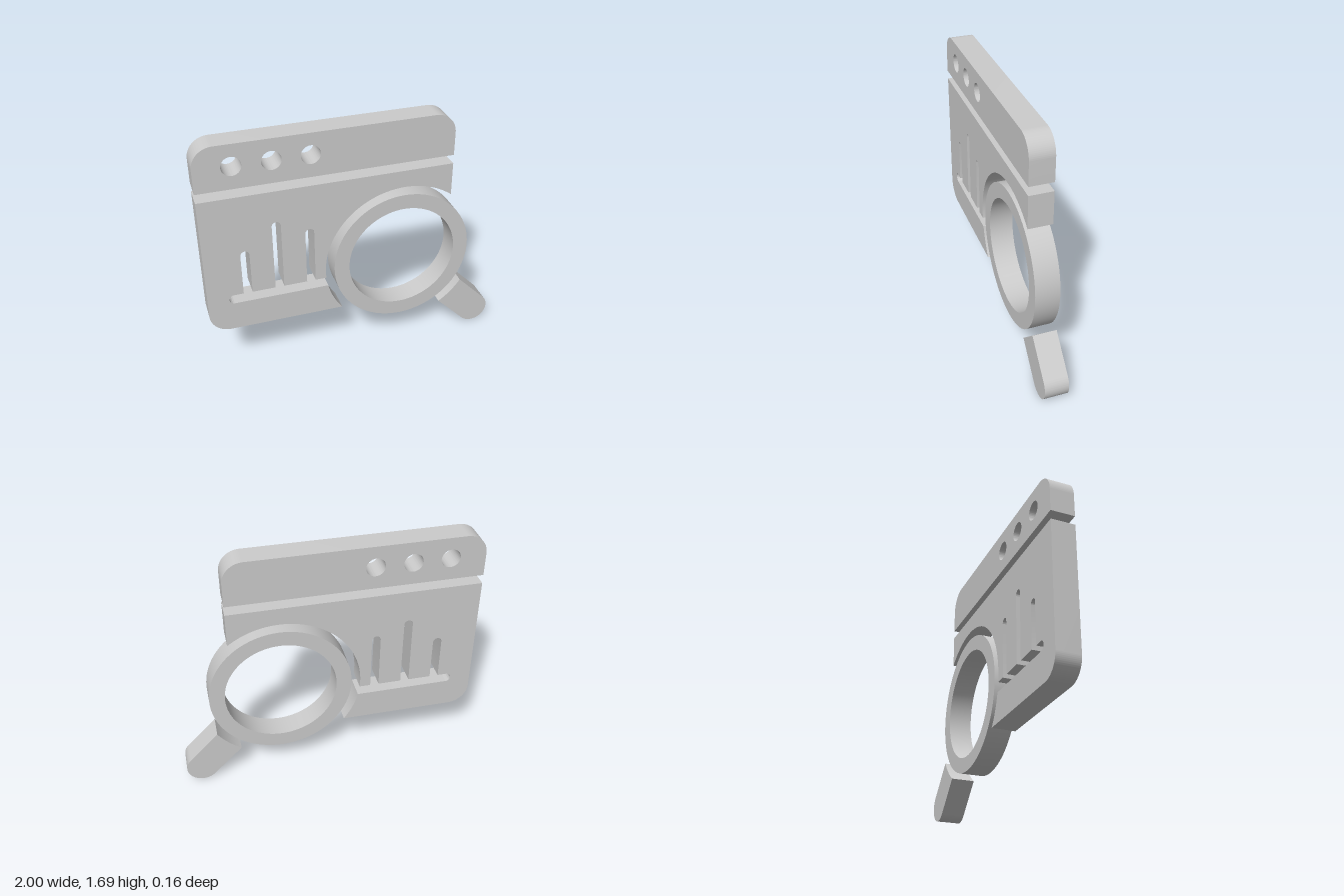
import * as THREE from 'three';
import { toCreasedNormals } from 'three/addons/utils/BufferGeometryUtils.js';

const DEPTH = 0.16;
const LEFT = -1, RIGHT = 0.648;          // window sides
const LENS = { x: 0.322, y: 0.682 };     // lens centre
const GAP_R = 0.536;                     // clearance radius around the lens
const CORNER = 0.135;

// x offset of the clearance circle at a given height, and its angle there
const gapAngle = (y) => Math.PI - Math.asin((y - LENS.y) / GAP_R);

function circlePath(x, y, r, Type = THREE.Path) {
  const p = new Type();
  p.absarc(x, y, r, 0, Math.PI * 2, false);
  return p;
}

// Title bar with rounded upper corners and three round buttons
function titleBarShape() {
  const s = new THREE.Shape(), bottom = 1.395, top = 1.688;
  s.moveTo(LEFT, bottom);
  s.lineTo(RIGHT, bottom);
  s.absarc(RIGHT - CORNER, top - CORNER, CORNER, 0, Math.PI / 2, false);
  s.absarc(LEFT + CORNER, top - CORNER, CORNER, Math.PI / 2, Math.PI, false);
  s.closePath();
  for (const x of [-0.77, -0.53, -0.29]) s.holes.push(circlePath(x, 1.545, 0.062));
  return s;
}

// Page outline: the chart bars and base line are one slot opening into the lens gap
function pageShape() {
  const s = new THREE.Shape();
  const top = 1.335, bottom = 0.358, slotTop = 0.625, slotBottom = 0.56;
  s.moveTo(LEFT, top);
  s.lineTo(RIGHT, top);
  s.absarc(LENS.x, LENS.y, GAP_R, Math.acos((RIGHT - LENS.x) / GAP_R), gapAngle(slotTop), false);
  // chart bars, right to left
  const r = 0.029;
  for (const [x, h] of [[-0.314, 1.025], [-0.526, 1.118], [-0.736, 0.943]]) {
    s.lineTo(x + r, slotTop);
    s.absarc(x, h - r, r, 0, Math.PI, false);
    s.lineTo(x - r, slotTop);
  }
  // rounded end of the base line
  const e = (slotTop - slotBottom) / 2;
  s.absarc(-0.86 + e, slotBottom + e, e, Math.PI / 2, Math.PI * 1.5, false);
  s.absarc(LENS.x, LENS.y, GAP_R, gapAngle(slotBottom), gapAngle(bottom), false);
  s.absarc(LEFT + CORNER, bottom + CORNER, CORNER, Math.PI * 1.5, Math.PI, true);
  s.closePath();
  return s;
}

// Magnifier rim
function rimShape() {
  const s = circlePath(LENS.x, LENS.y, 0.476, THREE.Shape);
  s.holes.push(circlePath(LENS.x, LENS.y, 0.373));
  return s;
}

// Handle: concave towards the rim, round at the far end
function handleShape() {
  const s = new THREE.Shape(), r = 0.109, half = Math.asin(r / GAP_R), d = Math.PI / 4;
  s.absarc(LENS.x, LENS.y, GAP_R, -d + half, -d - half, true);
  s.absarc(1 - r, r, r, -d - Math.PI / 2, -d + Math.PI / 2, false);
  s.closePath();
  return s;
}

export function createModel() {
  const group = new THREE.Group();
  const material = new THREE.MeshStandardMaterial({ color: 0xcccccc });
  const parts = {
    titleBar: titleBarShape(),
    chartPage: pageShape(),
    magnifierRim: rimShape(),
    magnifierHandle: handleShape(),
  };
  for (const [name, shape] of Object.entries(parts)) {
    const geometry = new THREE.ExtrudeGeometry(shape, {
      depth: DEPTH, bevelEnabled: false, curveSegments: 40,
    });
    geometry.translate(0, 0, -DEPTH / 2);
    const mesh = new THREE.Mesh(toCreasedNormals(geometry, 0.5), material);
    mesh.name = name;
    group.add(mesh);
  }
  return group;
}
